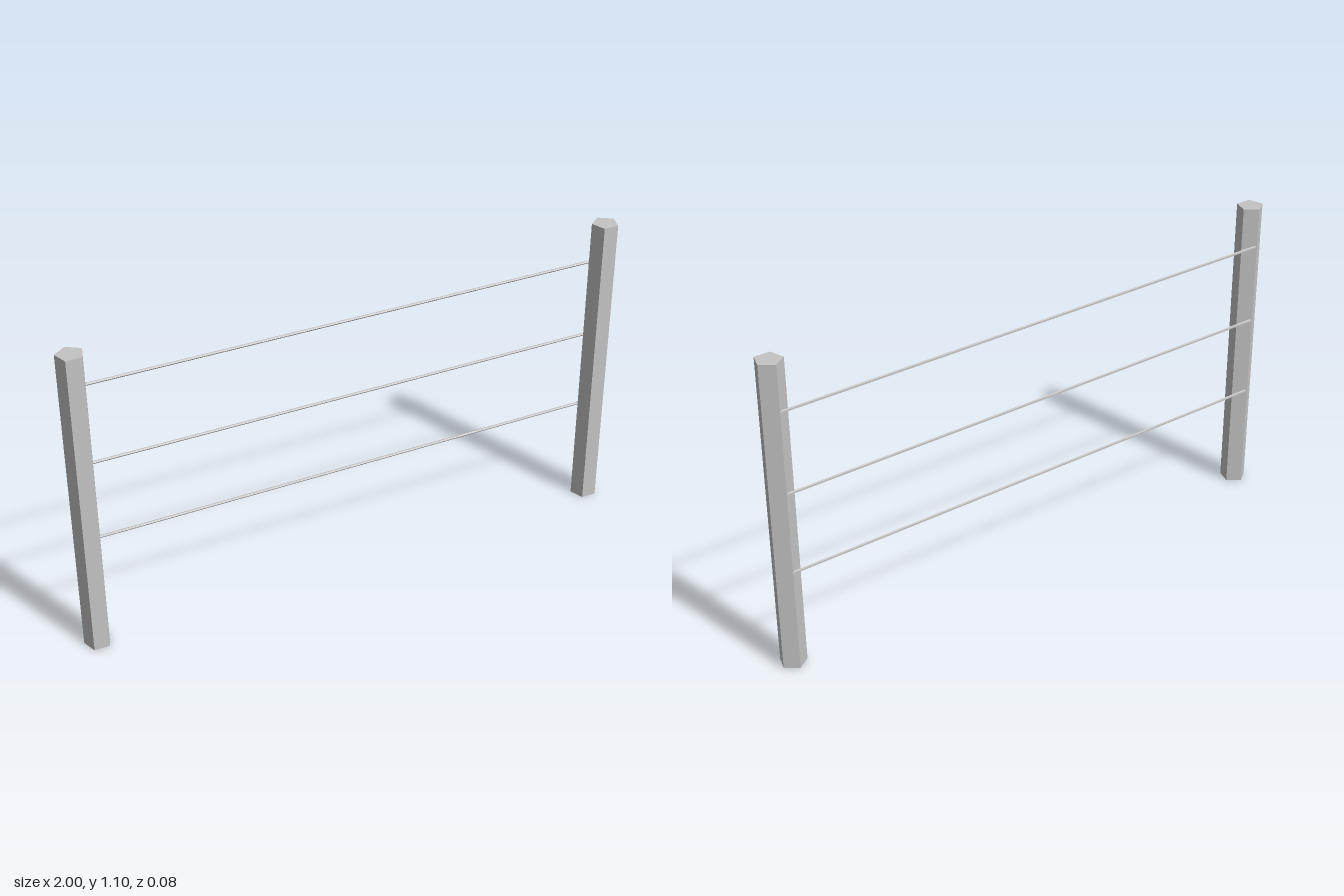
import * as THREE from 'three';

const steel = new THREE.MeshStandardMaterial({ name: 'grey steel', color: 0xc4c4c4, flatShading: true });

const POST_X = 0.956, POST_R = 0.0465, POST_H = 1.1;

// Five-sided post with one corner pointing to the back
function makePost(name, x) {
  const post = new THREE.Mesh(new THREE.CylinderGeometry(POST_R, POST_R, POST_H, 5, 1, false, Math.PI), steel);
  post.name = name;
  post.position.set(x, POST_H / 2, 0.0043);
  return post;
}

// Thin wire between the rear corners of the posts, sloping down to the left post
function makeWire(name, y) {
  const drop = 0.018;
  const wire = new THREE.Mesh(new THREE.CylinderGeometry(0.005, 0.005, Math.hypot(2 * POST_X, drop), 5), steel);
  wire.name = name;
  wire.position.set(0, y, -0.0375);
  wire.rotation.z = Math.PI / 2 - Math.atan2(drop, 2 * POST_X);
  return wire;
}

export function createModel() {
  const fence = new THREE.Group();
  fence.name = 'wireFence';
  fence.add(makePost('leftPost', POST_X), makePost('rightPost', -POST_X));
  ['lowerWire', 'middleWire', 'upperWire'].forEach((name, i) => fence.add(makeWire(name, 0.375 + i * 0.2865)));
  return fence;
}
